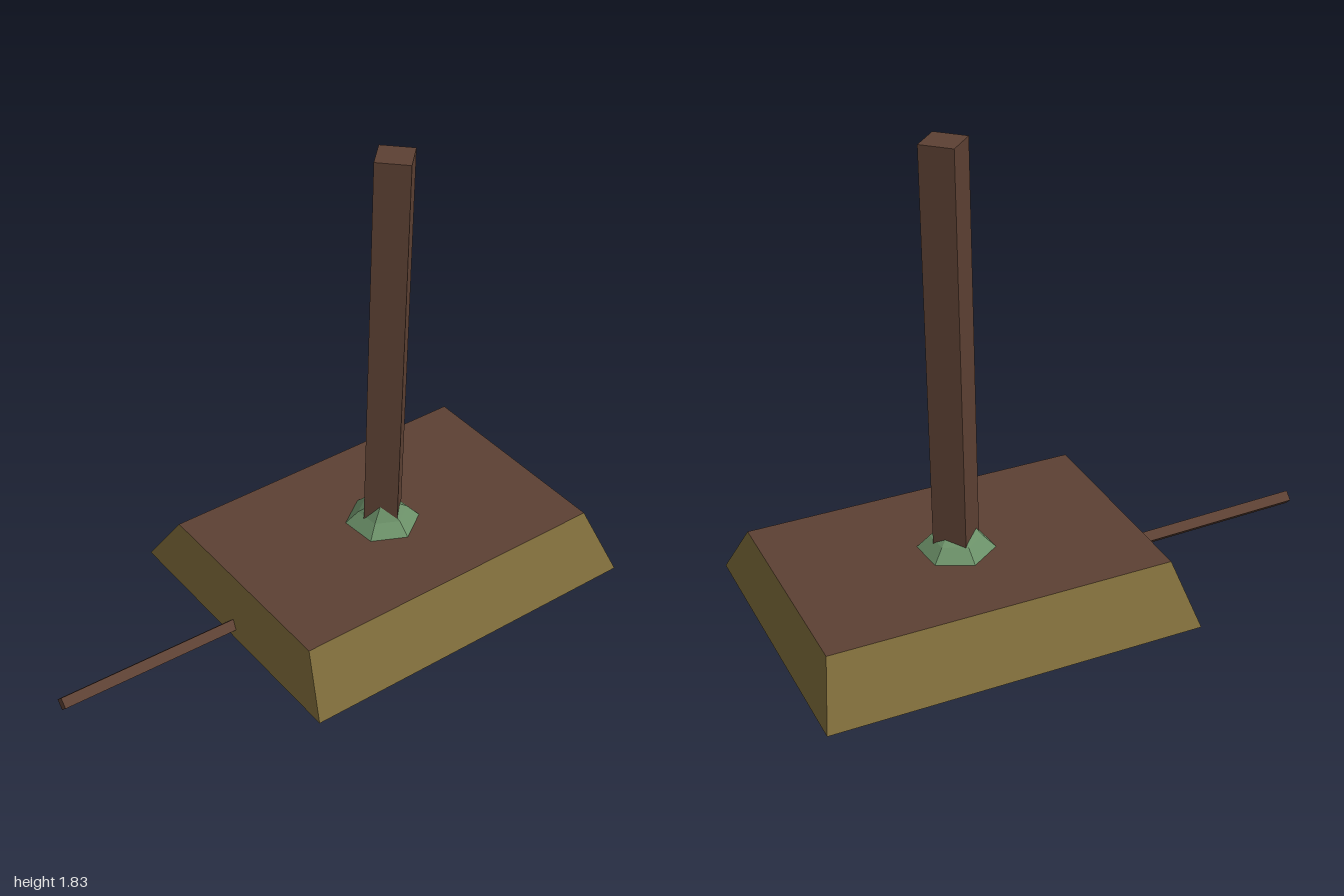
import * as THREE from 'three';

const mat = (name, color) => {
  const m = new THREE.MeshStandardMaterial({ color, flatShading: true, side: THREE.DoubleSide });
  m.name = name;
  return m;
};

// Square beam standing on one edge, running between two points
function beam(name, from, to, side, material) {
  const a = new THREE.Vector3(...from), b = new THREE.Vector3(...to);
  const dir = b.clone().sub(a);
  const geo = new THREE.BoxGeometry(side, dir.length(), side).rotateY(Math.PI / 4);
  const mesh = new THREE.Mesh(geo, material);
  mesh.name = name;
  mesh.position.copy(a).add(b).multiplyScalar(0.5);
  mesh.quaternion.setFromUnitVectors(new THREE.Vector3(0, 1, 0), dir.normalize());
  return mesh;
}

export function createModel() {
  const group = new THREE.Group();
  const wood = mat('dark wood', 0x5c4033);
  const straw = mat('olive straw', 0x7a6838);
  const moss = mat('moss green', 0x6b9068);

  // Hollow flared base, open underneath: sloping skirt and flat top
  const baseGeo = new THREE.BoxGeometry(1, 0.2, 1);
  const p = baseGeo.attributes.position;
  for (let i = 0; i < p.count; i++) {
    const top = p.getY(i) > 0;
    const right = p.getX(i) < 0, front = p.getZ(i) > 0;
    p.setXYZ(i,
      top ? (right ? -0.28 : 0.945) : (right ? -0.33 : 1.0),
      top ? 0.365 : 0.165,
      (front ? 1 : -1) * (top ? 0.4 : 0.53));
  }
  baseGeo.computeVertexNormals();
  baseGeo.clearGroups();
  baseGeo.addGroup(0, 12, 0);
  baseGeo.addGroup(12, 6, 1);
  baseGeo.addGroup(24, 12, 0);
  const base = new THREE.Mesh(baseGeo, [straw, wood]);
  base.name = 'base';
  group.add(base);

  // Leaning central pole
  group.add(beam('pole', [0.331, 0, 0], [0.345, 1.83, -0.01], 0.12, wood));

  // Side handle running under the base to the pole
  group.add(beam('handle', [-1, 0.212, -0.003], [0.33, 0.178, -0.003], 0.038, wood));

  // Faceted open dome around the pole, with its peak off centre
  const profile = [[0.165, 0.27], [0.135, 0.365], [0.09, 0.41], [0, 0.49]];
  const domeGeo = new THREE.LatheGeometry(profile.map(([r, y]) => new THREE.Vector2(r, y)), 6);
  const d = domeGeo.attributes.position;
  for (let i = 0; i < d.count; i++) {
    if (d.getY(i) > 0.48) d.setXYZ(i, -0.03, 0.49, 0.03);
  }
  domeGeo.computeVertexNormals();
  const dome = new THREE.Mesh(domeGeo, moss);
  dome.name = 'dome';
  dome.position.set(0.333, 0, 0);
  dome.rotation.y = 0.08;
  group.add(dome);

  return group;
}
